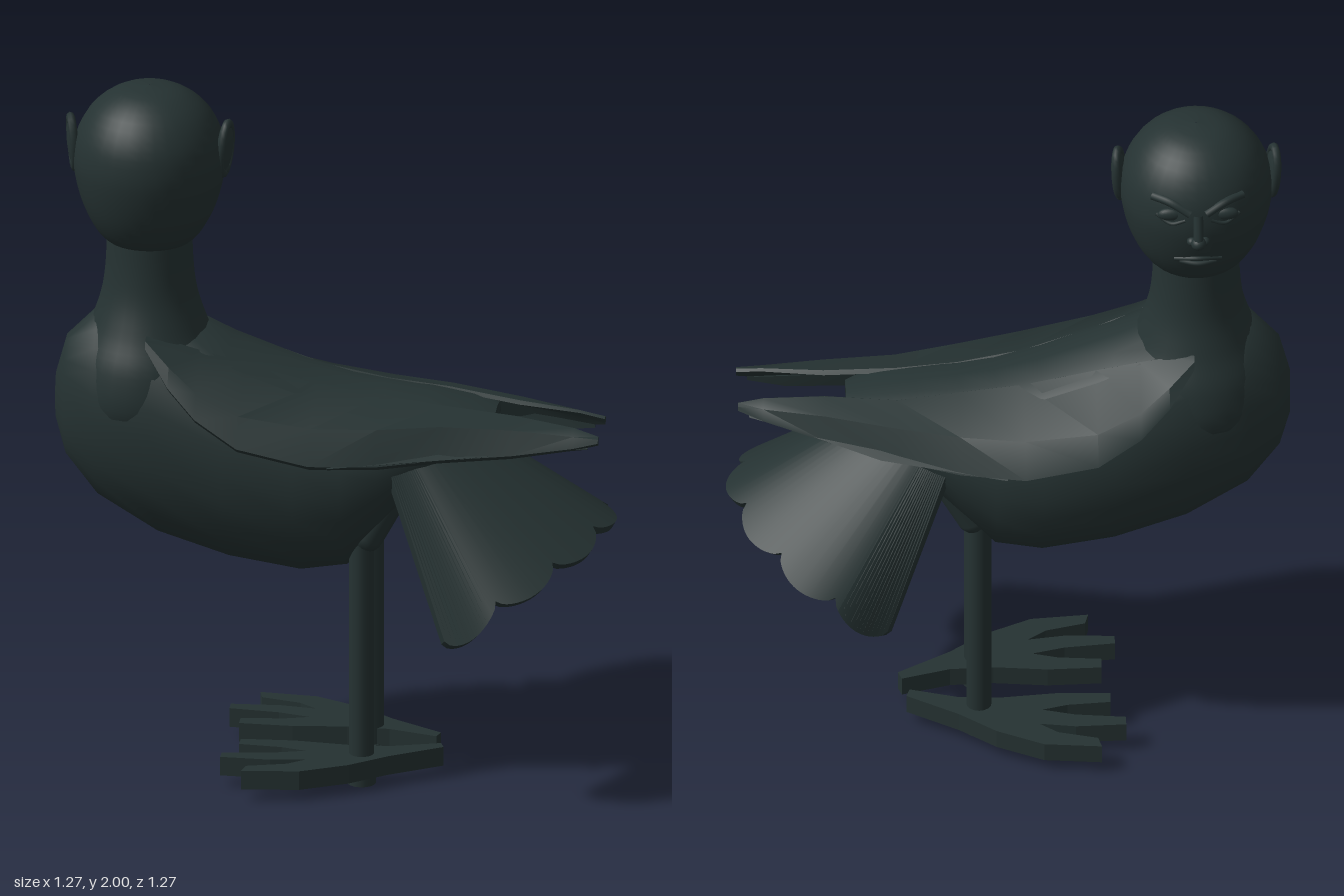
import * as THREE from 'three';
import { toCreasedNormals } from 'three/addons/utils/BufferGeometryUtils.js';

const V = (x, y, z) => new THREE.Vector3(x, y, z);

// Closed solid skinned over rings of points, wound outward whatever the ring order
function loft(rings, crease = 0.6) {
  const n = rings[0].length, pts = rings.flat(), tris = [];
  for (let i = 0; i < rings.length - 1; i++) {
    for (let j = 0; j < n; j++) {
      const a = i * n + j, b = i * n + (j + 1) % n, c = b + n, d = a + n;
      tris.push([a, d, b], [b, d, c]);
    }
  }
  for (const [r, flip] of [[0, false], [rings.length - 1, true]]) {
    const centre = V(0, 0, 0);
    rings[r].forEach(p => centre.addScaledVector(p, 1 / n));
    const k = pts.push(centre) - 1;
    for (let j = 0; j < n; j++) {
      const a = r * n + j, b = r * n + (j + 1) % n;
      tris.push(flip ? [b, a, k] : [a, b, k]);
    }
  }
  let volume = 0;
  for (const [a, b, c] of tris) volume += pts[a].dot(V(0, 0, 0).crossVectors(pts[b], pts[c]));
  const geo = new THREE.BufferGeometry().setFromPoints(pts);
  geo.setIndex(tris.flatMap(([a, b, c]) => volume < 0 ? [a, c, b] : [a, b, c]));
  return toCreasedNormals(geo, crease);
}

export function createModel() {
  const plumage = new THREE.MeshStandardMaterial({ color: 0x253232 });
  plumage.name = 'dark plumage';
  const model = new THREE.Group();
  const bird = new THREE.Group();
  bird.name = 'bird';
  bird.rotation.y = -Math.PI / 4;
  model.add(bird);

  const add = (parent, name, geo, x = 0, y = 0, z = 0) => {
    const mesh = new THREE.Mesh(geo, plumage);
    mesh.name = name;
    mesh.position.set(x, y, z);
    parent.add(mesh);
    return mesh;
  };

  // Body: elliptical sections from breast to rump [z, top, bottom, half width]
  const sections = [
    [0.84, 1.14, 1.0, 0.03], [0.81, 1.25, 0.9, 0.1], [0.72, 1.34, 0.79, 0.18],
    [0.55, 1.37, 0.69, 0.235], [0.35, 1.27, 0.63, 0.265], [0.15, 1.195, 0.6, 0.27],
    [0.02, 1.16, 0.62, 0.25], [-0.08, 1.145, 0.73, 0.22], [-0.2, 1.13, 0.87, 0.19],
    [-0.32, 1.11, 0.97, 0.155], [-0.39, 1.09, 1.03, 0.09],
  ];
  add(bird, 'body', loft(sections.map(([z, top, bottom, w]) =>
    Array.from({ length: 24 }, (_, k) => {
      const a = k / 24 * Math.PI * 2;
      return V(Math.cos(a) * w, (top + bottom) / 2 + Math.sin(a) * (top - bottom) / 2, z);
    })), 1.2));

  // Neck
  const lathe = (profile) => new THREE.LatheGeometry(
    new THREE.SplineCurve(profile.map(p => new THREE.Vector2(...p))).getPoints(30), 32);
  add(bird, 'neck', lathe([[0.15, 0.96], [0.214, 1.08], [0.206, 1.2], [0.164, 1.3],
    [0.134, 1.39], [0.122, 1.48], [0.118, 1.6]]), 0, 0, 0.58);

  // Head, turned to look over one side
  const head = new THREE.Group();
  head.name = 'head';
  head.position.set(0, 0, 0.58);
  head.rotation.y = -Math.PI / 2;
  bird.add(head);
  add(head, 'skull', lathe([[0.001, 1.54], [0.09, 1.542], [0.13, 1.56], [0.165, 1.61], [0.19, 1.67],
    [0.207, 1.74], [0.211, 1.8], [0.198, 1.87], [0.155, 1.94], [0.085, 1.987], [0.001, 2]]));
  const ball = new THREE.SphereGeometry(1, 20, 14);
  const tube = (points, r) => new THREE.TubeGeometry(
    new THREE.CatmullRomCurve3(points.map(p => V(...p))), 16, r, 8);
  for (const s of [-1, 1]) {
    add(head, 'eye', ball, s * 0.075, 1.825, 0.186).scale.set(0.037, 0.02, 0.016);
    add(head, 'lowerLid', tube([[s * 0.035, 1.815, 0.203], [s * 0.075, 1.8, 0.196],
      [s * 0.115, 1.82, 0.174]], 0.006));
    add(head, 'brow', tube([[s * 0.022, 1.835, 0.203], [s * 0.075, 1.862, 0.184],
      [s * 0.125, 1.865, 0.153]], 0.012));
    const ear = new THREE.Group();
    ear.name = 'ear';
    ear.position.set(s * 0.213, 1.825, -0.01);
    ear.rotation.set(0, s * 0.25, -s * 0.08);
    head.add(ear);
    add(ear, 'earShell', ball).scale.set(0.016, 0.072, 0.042);
    const rim = add(ear, 'earRim', new THREE.TorusGeometry(0.06, 0.012, 8, 24));
    rim.rotation.y = Math.PI / 2;
    rim.scale.set(0.65, 1.22, 1);
    add(ear, 'earLobe', ball, 0, -0.065, 0.01).scale.set(0.013, 0.018, 0.018);
    add(head, 'nostril', ball, s * 0.017, 1.747, 0.209).scale.set(0.015, 0.013, 0.016);
  }
  add(head, 'noseBridge', tube([[0, 1.83, 0.203], [0, 1.79, 0.217], [0, 1.755, 0.228]], 0.014));
  add(head, 'noseTip', ball, 0, 1.75, 0.225).scale.set(0.021, 0.019, 0.021);
  add(head, 'upperLip', tube([[-0.065, 1.665, 0.175], [0, 1.675, 0.192], [0.065, 1.665, 0.175]], 0.007));
  add(head, 'lowerLip', tube([[-0.05, 1.657, 0.176], [0, 1.653, 0.186], [0.05, 1.657, 0.176]], 0.008));

  // Wings: shells over the flanks, each section top, middle, bottom [z, x, y, x, y, x, y]
  const wingSections = [
    [0.57, 0.16, 1.315, 0.17, 1.3, 0.18, 1.28],
    [0.5, 0.14, 1.295, 0.21, 1.24, 0.24, 1.19],
    [0.42, 0.12, 1.265, 0.245, 1.18, 0.28, 1.115],
    [0.3, 0.1, 1.225, 0.265, 1.125, 0.31, 1.045],
    [0.1, 0.08, 1.165, 0.245, 1.09, 0.305, 1.0],
    [-0.08, 0.07, 1.135, 0.205, 1.08, 0.26, 0.99],
    [-0.25, 0.075, 1.115, 0.16, 1.08, 0.2, 0.995],
    [-0.45, 0.09, 1.1, 0.15, 1.075, 0.18, 1.01],
    [-0.62, 0.125, 1.085, 0.15, 1.065, 0.165, 1.035],
    [-0.69, 0.145, 1.07, 0.15, 1.06, 0.155, 1.05],
  ];
  for (const s of [-1, 1]) {
    const rings = wingSections.map(([z, ...p]) => {
      // the far wing folds a little further across the tail
      const lean = s < 0 && z < -0.25 ? (-0.25 - z) * 0.3 : 0;
      const t = z < -0.6 ? 0.008 : 0.012;
      const at = (k, d) => V(s * (p[k] + d - lean), p[k + 1] + d * 0.7, z);
      return [at(0, 0), at(2, t), at(4, t), at(4, -t), at(2, -t), at(0, -t)];
    });
    add(bird, 'wing', loft(rings, 0.7));
    // long flight feather along the lower edge
    const lean = s < 0 ? 0.1 : 0;
    const feather = [[0.05, 0.29, 1.0, 0.015], [-0.3, 0.19, 1.01, 0.022],
      [-0.55, 0.155 - lean * 0.9, 1.03, 0.018], [-0.66, 0.15 - lean * 1.2, 1.035, 0.005]];
    add(bird, 'flightFeather', loft(feather.map(([z, x, y, r]) =>
      [V(s * (x - r), y + r, z), V(s * (x + r), y, z), V(s * (x - r), y - r, z)])));
  }

  // Tail: arched fan with a scalloped edge
  const mirrored = (half, mid) => new THREE.CatmullRomCurve3([
    ...half.map(([x, y, z]) => V(-x, y, z)), V(...mid),
    ...half.slice().reverse().map(p => V(...p))]);
  const inner = mirrored([[0.19, 1.0, -0.1], [0.13, 1.03, -0.2]], [0, 1.06, -0.28]);
  const outer = mirrored([[0.357, 0.505, -0.292], [0.378, 0.63, -0.425], [0.31, 0.705, -0.55],
    [0.17, 0.76, -0.655]], [0, 0.785, -0.7]);
  const fan = [];
  for (let i = 0; i <= 112; i++) {
    const t = i / 112;
    const a = inner.getPointAt(t), b = outer.getPointAt(t);
    b.lerpVectors(a, b, 0.965 + 0.09 * Math.abs(Math.sin(t * 7 * Math.PI)) ** 0.6);
    const under = p => V(p.x * 0.91, p.y - 0.022, p.z + 0.012);
    fan.push([a, b, under(b), under(a)]);
  }
  add(bird, 'tail', loft(fan, 0.5));

  // Foot outline: heel, ankle and three splayed toes
  const outline = [[-0.1, -0.235], [-0.07, -0.245], [0.02, -0.1], [0.1, 0.0], [0.165, 0.13], [0.18, 0.29],
    [0.14, 0.28], [0.11, 0.17], [0.07, 0.12], [0.085, 0.22], [0.08, 0.36], [0.045, 0.36],
    [0.03, 0.22], [0.005, 0.13], [-0.015, 0.2], [-0.025, 0.32], [-0.065, 0.32],
    [-0.07, 0.17], [-0.055, 0.02], [-0.06, -0.1]];
  for (const s of [-1, 1]) {
    const x = s * 0.11, z = -0.025;
    add(bird, 'leg', new THREE.CylinderGeometry(0.035, 0.035, 0.72, 16), x, 0.39, z);
    const thigh = add(bird, 'thigh', new THREE.CapsuleGeometry(0.045, 0.2, 6, 16), x, 0.82, z - 0.065);
    thigh.rotation.x = -0.5;
    add(bird, 'footPad', new THREE.CylinderGeometry(0.04, 0.04, 0.04, 16), x, 0.02, z);
    const shape = new THREE.Shape(outline.map(([px, pz]) => new THREE.Vector2(s * px, -pz)));
    const foot = new THREE.ExtrudeGeometry(shape, { depth: 0.055, bevelEnabled: false });
    foot.rotateX(-Math.PI / 2);
    // the far foot stands slightly wider and further forward
    add(bird, 'foot', foot, s < 0 ? x - 0.03 : x, 0.033, s < 0 ? 0.02 : 0);
  }
  return model;
}
